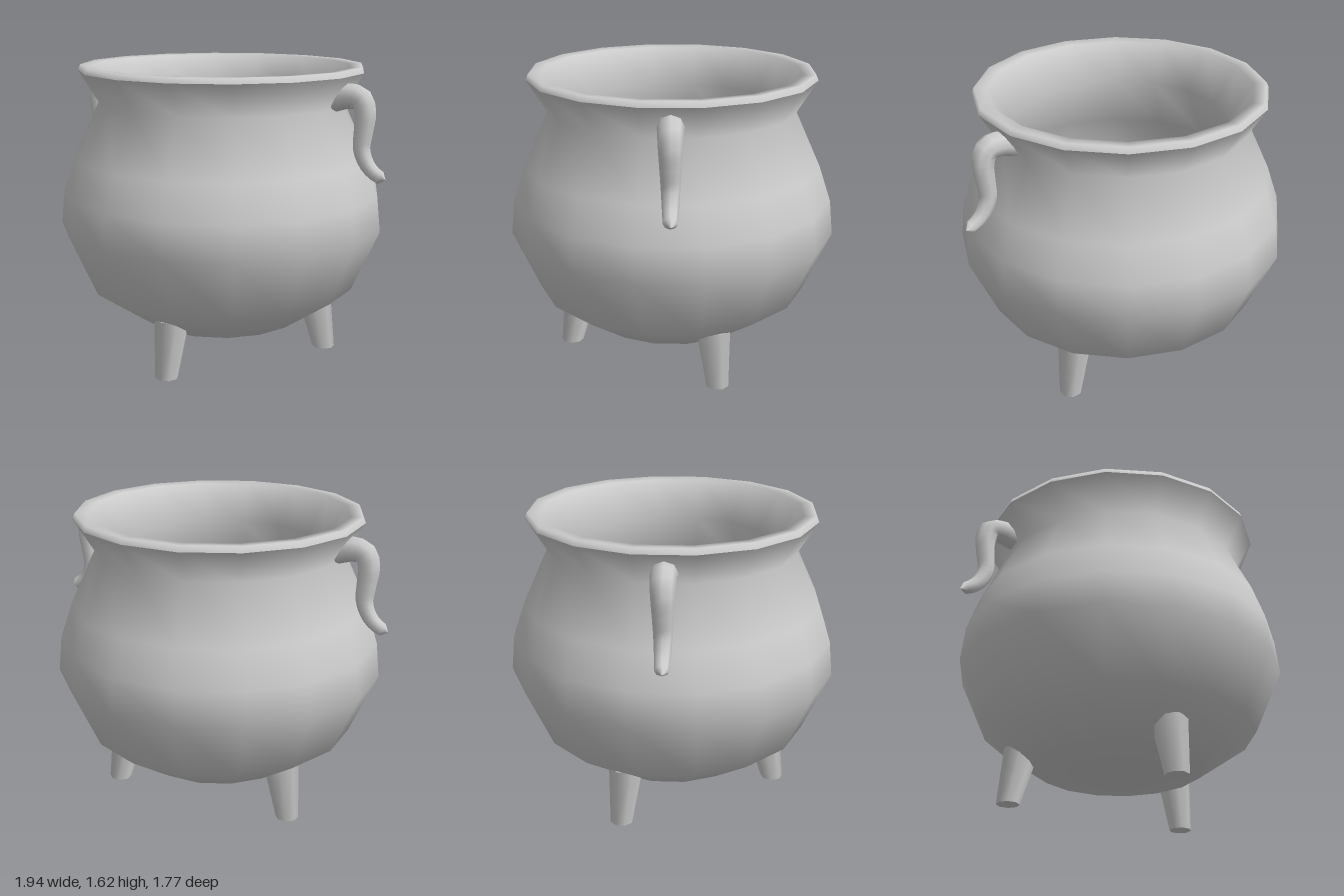
import * as THREE from 'three';

const material = new THREE.MeshStandardMaterial({ color: 0xcccccc });
const SIDES = 16;

function add(parent, name, geometry) {
  const mesh = new THREE.Mesh(geometry, material);
  mesh.name = name;
  parent.add(mesh);
  return mesh;
}

// Faceted ring profile, turned half a step so that flats face the axes
function lathe(profile) {
  const points = profile.map(([r, y]) => new THREE.Vector2(r, y));
  return new THREE.LatheGeometry(points, SIDES, Math.PI / SIDES);
}

// Tube that thins along its length and closes at the tip
function taperedTube(path, rings, sides, radiusAt) {
  const geometry = new THREE.TubeGeometry(path, rings, 1, sides);
  const pos = geometry.attributes.position;
  const v = new THREE.Vector3();
  for (let i = 0; i <= rings; i++) {
    const t = i / rings;
    const centre = path.getPointAt(t);
    for (let j = 0; j <= sides; j++) {
      const k = i * (sides + 1) + j;
      v.fromBufferAttribute(pos, k).sub(centre).multiplyScalar(radiusAt(t)).add(centre);
      pos.setXYZ(k, v.x, v.y, v.z);
    }
  }
  return geometry;
}

function handleGeometry() {
  const path = new THREE.CatmullRomCurve3([
    [0.67, 1.47], [0.75, 1.487], [0.82, 1.475], [0.845, 1.41], [0.838, 1.31],
    [0.832, 1.215], [0.87, 1.13], [0.92, 1.087], [0.968, 1.068],
  ].map(([x, y]) => new THREE.Vector3(x, y, 0)));
  return taperedTube(path, 20, 8, t =>
    t === 1 ? 0 : t < 0.3 ? 0.07 - 0.03 * t : 0.061 - 0.027 * (t - 0.3) / 0.7);
}

// Splayed leg: a tapered cylinder sheared inward, with a level foot
function legGeometry() {
  const height = 0.315;
  const geometry = new THREE.CylinderGeometry(0.098, 0.063, height, 8);
  geometry.translate(0, height / 2, 0);
  const pos = geometry.attributes.position;
  for (let i = 0; i < pos.count; i++) {
    pos.setZ(i, pos.getZ(i) + 0.59 - 0.2 * pos.getY(i));
  }
  geometry.computeBoundingSphere();
  return geometry;
}

export function createModel() {
  const model = new THREE.Group();
  model.name = 'cauldron';

  // Pot: outer wall, then lip and inner wall, with a crease between them
  add(model, 'outerWall', lathe([
    [0, 0.155], [0.12, 0.157], [0.46, 0.2], [0.75, 0.4], [0.9, 0.74],
    [0.88, 0.93], [0.815, 1.12], [0.678, 1.415], [0.785, 1.59],
  ]));
  add(model, 'lipAndInnerWall', lathe([
    [0.785, 1.59], [0.772, 1.62], [0.705, 1.615], [0.575, 1.415], [0.7, 1.12],
    [0.775, 0.92], [0.79, 0.74], [0.66, 0.46], [0.42, 0.29], [0.12, 0.25], [0, 0.25],
  ]));

  // Handles on both sides
  const handle = handleGeometry();
  add(model, 'leftHandle', handle);
  add(model, 'rightHandle', handle).rotation.y = Math.PI;

  // Three legs
  const leg = legGeometry();
  [['frontLeg', 0], ['backLeftLeg', 115], ['backRightLeg', -115]].forEach(([name, degrees]) => {
    add(model, name, leg).rotation.y = THREE.MathUtils.degToRad(degrees);
  });

  return model;
}
